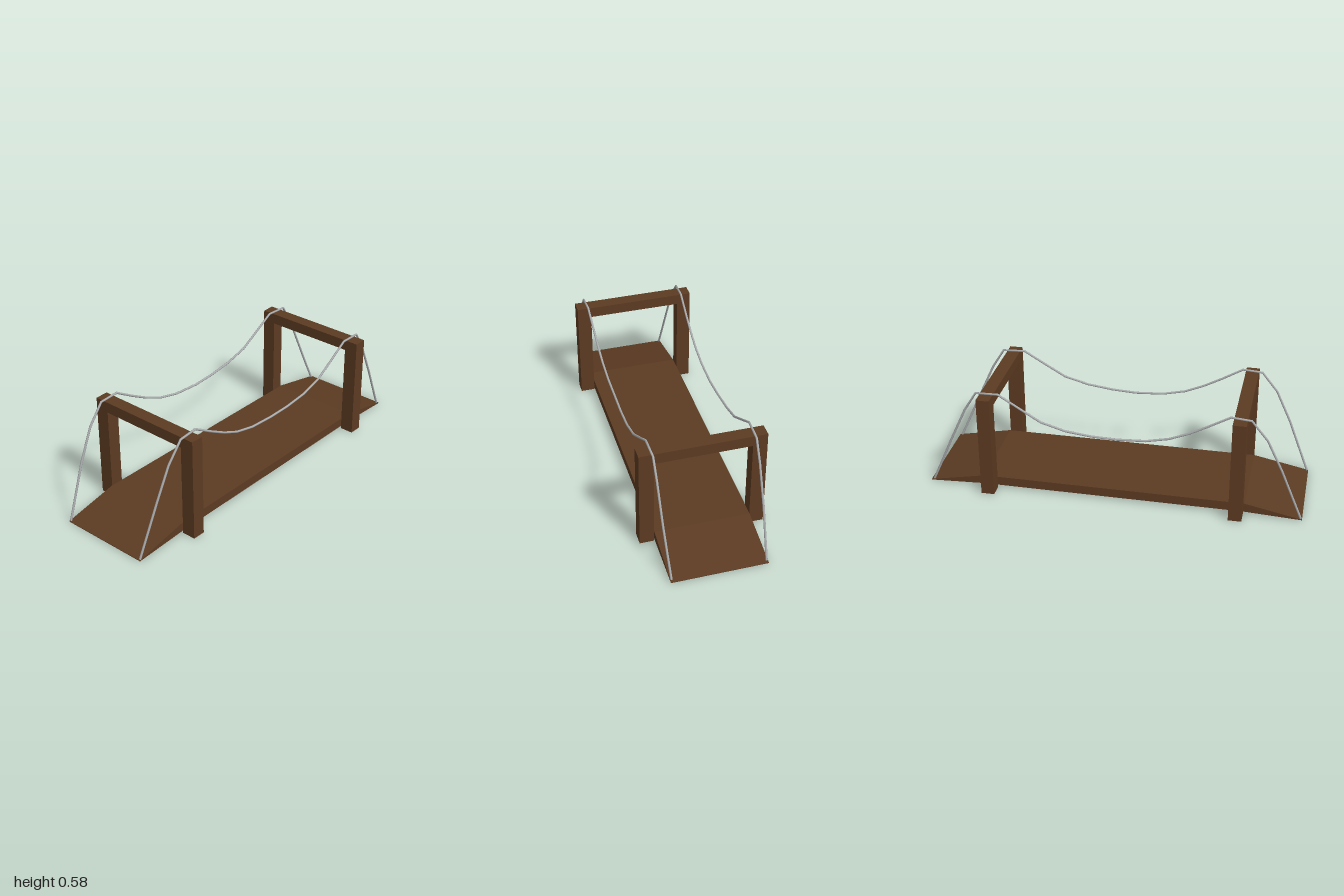
import * as THREE from 'three';

const wood = new THREE.MeshStandardMaterial({ color: 0x5c3b22, flatShading: true });
wood.name = 'brown wood';
const steel = new THREE.MeshStandardMaterial({ color: 0xa9abad });
steel.name = 'grey steel';

// Straight segments between points, sampled exactly at the corners
class Polyline extends THREE.Curve {
  constructor(points) {
    super();
    this.points = points;
  }
  getPoint(t, target = new THREE.Vector3()) {
    const s = t * (this.points.length - 1);
    const i = Math.min(Math.floor(s), this.points.length - 2);
    return target.lerpVectors(this.points[i], this.points[i + 1], s - i);
  }
  getPointAt(u, target) { return this.getPoint(u, target); }
  getTangentAt(u, target) { return this.getTangent(u, target); }
}

function addMesh(parent, name, geometry, material, x = 0, y = 0, z = 0) {
  const mesh = new THREE.Mesh(geometry, material);
  mesh.name = name;
  mesh.position.set(x, y, z);
  parent.add(mesh);
  return mesh;
}

export function createModel() {
  const model = new THREE.Group();
  model.name = 'suspensionBridge';

  // Deck with a tapered ramp at each end
  const profile = new THREE.Shape([
    [-1, 0], [-0.7, 0.014], [0.7, 0.014], [1, 0], [1, 0.003],
    [0.7, 0.063], [-0.7, 0.063], [-1, 0.003],
  ].map(([x, y]) => new THREE.Vector2(x, y)));
  const deck = new THREE.ExtrudeGeometry(profile, { depth: 0.5, bevelEnabled: false });
  addMesh(model, 'deck', deck, wood, 0, 0, -0.25);

  // Two portal towers
  for (const side of [-1, 1]) {
    const tower = new THREE.Group();
    tower.name = side < 0 ? 'rightTower' : 'leftTower';
    tower.position.x = side * 0.66;
    for (const end of [-1, 1]) {
      addMesh(tower, end < 0 ? 'backPost' : 'frontPost',
        new THREE.BoxGeometry(0.07, 0.56, 0.075), wood, 0, 0.28, end * 0.2875);
    }
    addMesh(tower, 'crossBeam', new THREE.BoxGeometry(0.07, 0.058, 0.5), wood, 0, 0.531, 0);
    model.add(tower);
  }

  // Cables hung over the towers and anchored at the ramp ends
  const path = [
    [-0.993, 0.006, 0.244], [-0.88, 0.29, 0.262], [-0.8, 0.46, 0.268],
    [-0.715, 0.565, 0.27], [-0.61, 0.573, 0.268], [-0.5, 0.508, 0.266],
    [-0.4, 0.454, 0.265], [-0.3, 0.412, 0.264], [-0.18, 0.385, 0.263],
    [-0.03, 0.376, 0.262], [0.1, 0.381, 0.265], [0.24, 0.398, 0.267],
    [0.37, 0.435, 0.265], [0.48, 0.5, 0.263], [0.595, 0.57, 0.261],
    [0.715, 0.566, 0.258], [0.78, 0.46, 0.257], [0.87, 0.265, 0.254],
    [0.925, 0.14, 0.249], [0.985, 0.008, 0.243],
  ];
  for (const end of [-1, 1]) {
    const points = path.map(([x, y, z]) => new THREE.Vector3(x, y, end * z));
    const cable = new THREE.TubeGeometry(new Polyline(points), points.length - 1, 0.006, 8);
    addMesh(model, end < 0 ? 'backCable' : 'frontCable', cable, steel);
  }
  return model;
}
